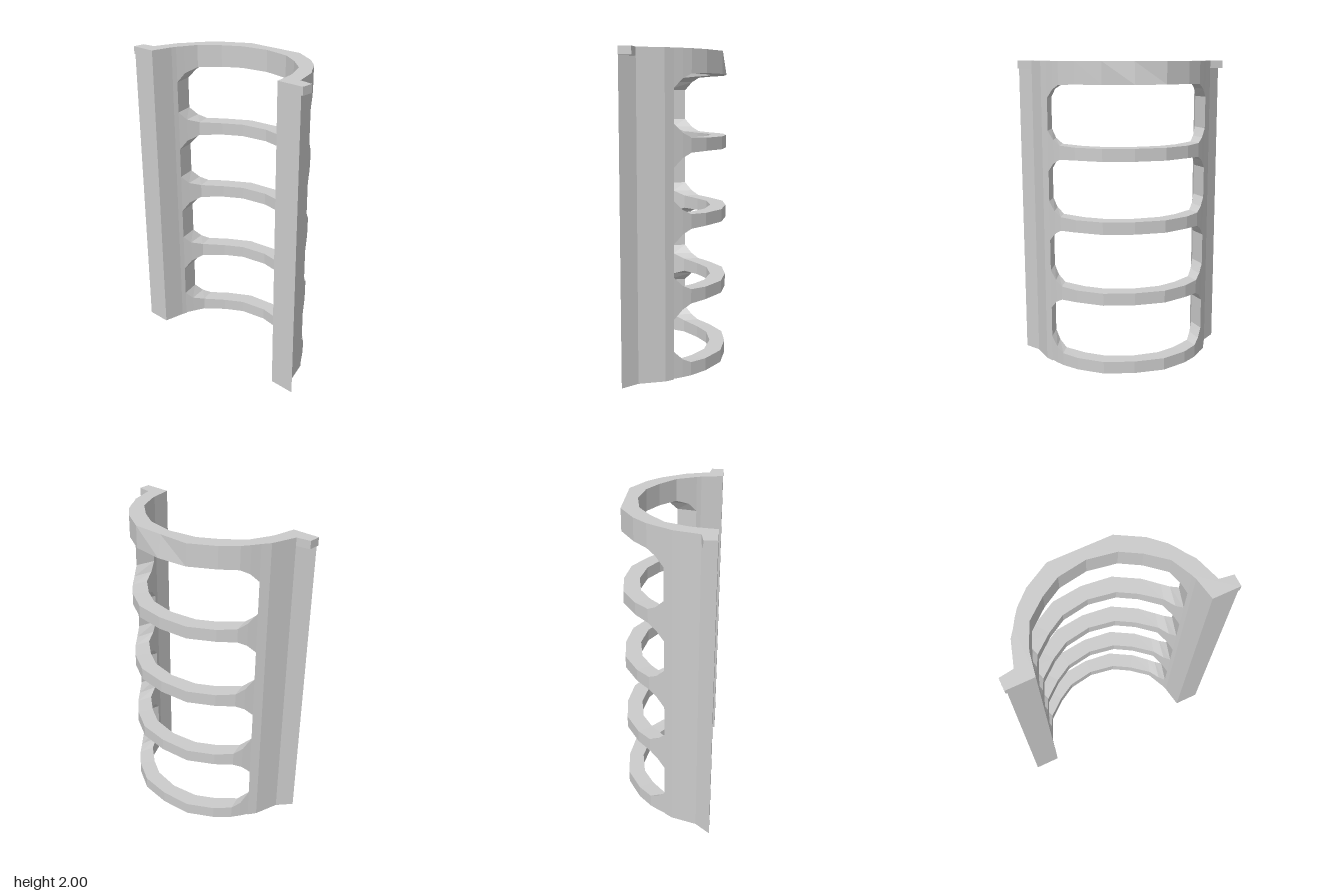
import * as THREE from 'three';

const material = new THREE.MeshStandardMaterial({ color: 0xcccccc, flatShading: true });

// Half of the arch in plan, from window jamb to middle:
// outer x, outer z, inner x, inner z, rounding of the window corner
const HALF = [
  [0.515, 0.0, 0.48, 0.13, 0.09],
  [0.485, -0.05, 0.457, 0.08, 0.035],
  [0.45, -0.1, 0.42, 0.0, 0.005],
  [0.36, -0.185, 0.3, -0.1, 0],
  [0.2, -0.277, 0.18, -0.17, 0],
  [0, -0.3, 0, -0.2, 0],
];
const ARCH = [
  ...HALF.slice(0, -1).map(([ox, oz, ix, iz, r]) => [-ox, oz, -ix, iz, r]),
  ...HALF.slice().reverse(),
];

// Curved rib: a four-cornered section lofted along the arch, thickening at its ends
function ribGeometry(low, high, isBottom, isTop) {
  const rings = ARCH.map(([ox, oz, ix, iz, r]) => {
    const lo = isBottom ? low : low - r;
    const hi = isTop ? high : high + r;
    const topZ = isTop ? Math.max(oz, -0.277) : oz;
    return [[ox, lo, oz], [ox, hi, topZ], [ix, hi, iz], [ix, lo, iz]];
  });
  const pos = [];
  for (let s = 0; s < rings.length - 1; s++) {
    for (let k = 0; k < 4; k++) {
      const n = (k + 1) % 4;
      const a = rings[s][k], b = rings[s][n], c = rings[s + 1][n], d = rings[s + 1][k];
      pos.push(...a, ...b, ...c, ...a, ...c, ...d);
    }
  }
  const g = new THREE.BufferGeometry();
  g.setAttribute('position', new THREE.Float32BufferAttribute(pos, 3));
  g.computeVertexNormals();
  return g;
}

// Upright prism over a plan outline of [x, z] points
function prism(points, side, y0, y1) {
  const shape = new THREE.Shape(points.map(([x, z]) => new THREE.Vector2(side * x, -z)));
  const g = new THREE.ExtrudeGeometry(shape, { depth: y1 - y0, bevelEnabled: false });
  g.rotateX(-Math.PI / 2);
  g.translate(0, y0, 0);
  return g;
}

export function createModel() {
  const group = new THREE.Group();
  const add = (name, geometry) => {
    const mesh = new THREE.Mesh(geometry, material);
    mesh.name = name;
    group.add(mesh);
  };

  // Side walls flaring into a flat front edge, each with a small tab at the top
  const wall = [[0.515, 0], [0.55, 0.05], [0.6, 0.21], [0.68, 0.3], [0.515, 0.3], [0.49, 0.16], [0.48, 0.13]];
  const tab = [[0.6, 0.21], [0.69, 0.223], [0.69, 0.3], [0.68, 0.3]];
  for (const [side, label] of [[1, 'left'], [-1, 'right']]) {
    add(label + 'Wall', prism(wall, side, 0, 2));
    add(label + 'TopTab', prism(tab, side, 1.95, 2));
  }

  // Five ribs framing the four windows
  const ribs = [[0.005, 0.085], [0.47, 0.55], [0.935, 1.015], [1.395, 1.475], [1.86, 2]];
  ribs.forEach(([low, high], i) => {
    add('rib' + (i + 1), ribGeometry(low, high, i === 0, i === ribs.length - 1));
  });
  return group;
}
